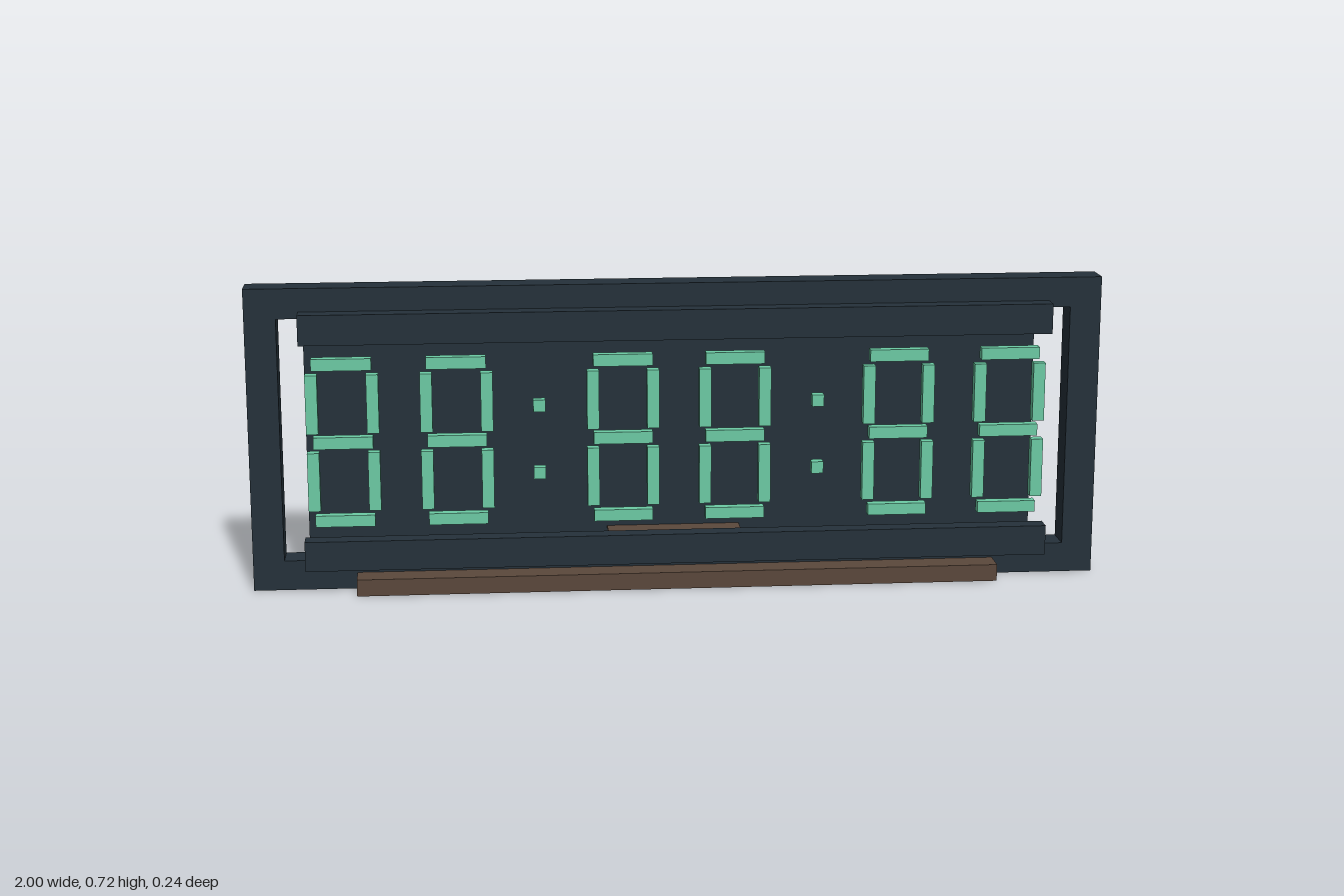
import * as THREE from 'three';

export function createModel() {
  const material = (name, color) => {
    const m = new THREE.MeshStandardMaterial({ color });
    m.name = name;
    return m;
  };
  const dark = material('dark slate', 0x25313a);
  const green = material('mint green', 0x6ccba5);
  const brown = material('walnut brown', 0x5b483c);

  const model = new THREE.Group();
  model.name = 'digitalClock';

  // Box given by its extents on each axis
  const box = (parent, name, mat, [x0, x1], [y0, y1], [z0, z1]) => {
    const mesh = new THREE.Mesh(new THREE.BoxGeometry(x1 - x0, y1 - y0, z1 - z0), mat);
    mesh.position.set((x0 + x1) / 2, (y0 + y1) / 2, (z0 + z1) / 2);
    mesh.name = name;
    parent.add(mesh);
    return mesh;
  };
  const rectangle = (Type, x, y0, y1) =>
    new Type([[-x, y0], [x, y0], [x, y1], [-x, y1]].map(([a, b]) => new THREE.Vector2(a, b)));

  // Open frame, lifted a hair so the base owns the underside
  const outline = rectangle(THREE.Shape, 1, 0.001, 0.72);
  outline.holes.push(rectangle(THREE.Path, 0.927, 0.072, 0.649));
  const frame = new THREE.Mesh(
    new THREE.ExtrudeGeometry(outline, { depth: 0.072, bevelEnabled: false }), dark);
  frame.position.z = -0.015;
  frame.name = 'frame';
  model.add(frame);

  // Back panel, front rails, base and panel support
  box(model, 'backPanel', dark, [-0.876, 0.876], [0.08, 0.641], [-0.12, -0.089]);
  box(model, 'topRail', dark, [-0.876, 0.876], [0.594, 0.665], [0.057, 0.101]);
  box(model, 'bottomRail', dark, [-0.876, 0.876], [0.057, 0.128], [0.057, 0.101]);
  box(model, 'base', brown, [-0.757, 0.757], [0, 0.04], [-0.12, 0.12]);
  box(model, 'panelSupport', brown, [-0.16, 0.16], [0.04, 0.1], [-0.119, -0.041]);

  // Seven-segment digits floating in front of the panel
  const depth = [0.069, 0.094];
  const crossbars = [[0.162, 0.189], [0.348, 0.376], [0.533, 0.561]];
  const uprights = [[0.2, 0.339], [0.384, 0.523]];
  for (const x of [-0.78, -0.517, -0.131, 0.131, 0.517, 0.78]) {
    const digit = new THREE.Group();
    digit.name = 'digit';
    for (const y of crossbars) box(digit, 'crossSegment', green, [x - 0.069, x + 0.069], y, depth);
    for (const y of uprights) {
      for (const side of [-1, 1]) {
        const c = x + side * 0.07;
        box(digit, 'uprightSegment', green, [c - 0.014, c + 0.014], y, depth);
      }
    }
    model.add(digit);
  }

  // Colon dots between the digit pairs
  for (const x of [-0.326, 0.326]) {
    for (const y of [0.281, 0.442]) {
      box(model, 'colonDot', green, [x - 0.014, x + 0.014], [y - 0.014, y + 0.014], depth);
    }
  }
  return model;
}
